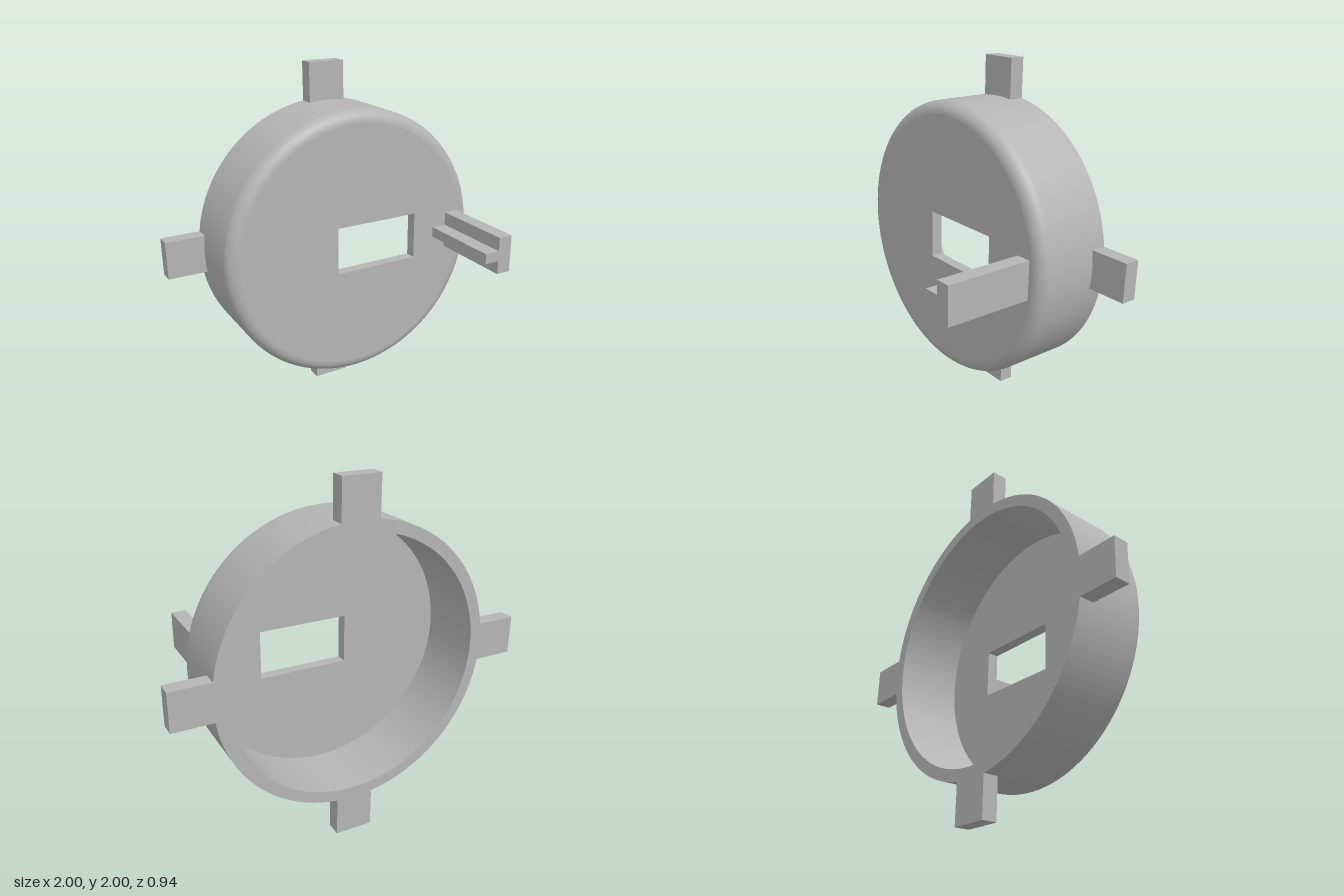
import * as THREE from 'three';
import { toCreasedNormals } from 'three/addons/utils/BufferGeometryUtils.js';

const BACK = -0.47, FRONT = -0.03, TIP = 0.47;
const OUTER = 0.785, INNER = 0.72, FILLET = 0.07, PLATE = 0.065;

export function createModel() {
  const model = new THREE.Group();
  model.name = 'flangedCap';
  const grey = new THREE.MeshStandardMaterial({ color: 0xb4b4b4 });
  grey.name = 'plain grey';

  const add = (name, geometry, x = 0, y = 1, z = 0) => {
    const mesh = new THREE.Mesh(geometry, grey);
    mesh.name = name;
    mesh.position.set(x, y, z);
    model.add(mesh);
    return mesh;
  };

  // Hollow round wall with a rounded front edge
  const flat = OUTER - FILLET;
  const profile = [
    new THREE.Vector2(flat, FRONT - PLATE),
    new THREE.Vector2(INNER, FRONT - PLATE),
    new THREE.Vector2(INNER, BACK),
    new THREE.Vector2(OUTER, BACK),
  ];
  for (let i = 0; i <= 8; i++) {
    const a = (i / 8) * Math.PI / 2;
    profile.push(new THREE.Vector2(flat + FILLET * Math.cos(a), FRONT - FILLET + FILLET * Math.sin(a)));
  }
  const wall = new THREE.LatheGeometry(profile, 96).rotateX(Math.PI / 2);
  add('roundWall', toCreasedNormals(wall, 0.6));

  // Front plate with an off-centre rectangular window
  const disc = new THREE.Shape().absarc(0, 0, flat, 0, Math.PI * 2);
  disc.holes.push(new THREE.Path([
    [-0.13, -0.135], [-0.13, 0.14], [0.38, 0.14], [0.38, -0.135], [-0.13, -0.135],
  ].map(([x, y]) => new THREE.Vector2(x, y))));
  add('frontPlate', new THREE.ExtrudeGeometry(disc, {
    depth: PLATE, bevelEnabled: false, curveSegments: 96,
  }), 0, 1, FRONT - PLATE);

  // Four mounting tabs around the back rim
  const tabStart = 0.75, tabDepth = 0.085;
  for (let i = 0; i < 4; i++) {
    const geometry = new THREE.BoxGeometry(1 - tabStart, 0.215, tabDepth)
      .translate((1 + tabStart) / 2, 0, BACK + tabDepth / 2)
      .rotateZ(i * Math.PI / 2);
    add('mountingTab', geometry);
  }

  // T-section post standing out from the front plate
  const tee = new THREE.Shape([
    [0.69, -0.108], [0.69, 0.108], [0.605, 0.108], [0.605, 0.03],
    [0.515, 0.03], [0.515, -0.03], [0.605, -0.03], [0.605, -0.108],
  ].map(([x, y]) => new THREE.Vector2(x, y)));
  add('frontPost', new THREE.ExtrudeGeometry(tee, {
    depth: TIP - FRONT, bevelEnabled: false,
  }), 0, 1, FRONT);

  return model;
}
